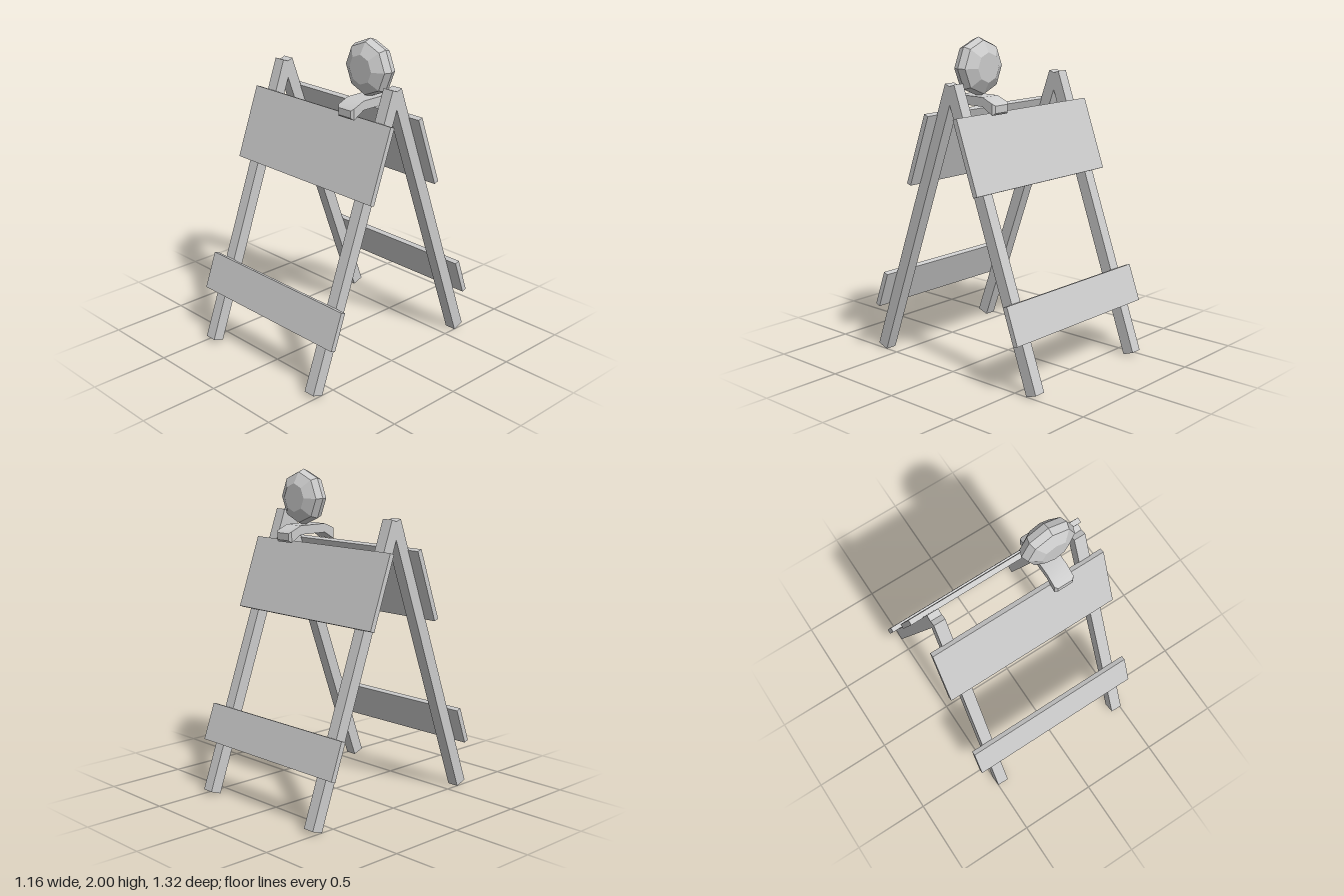
import * as THREE from 'three';
import { toCreasedNormals } from 'three/addons/utils/BufferGeometryUtils.js';

const TILT = THREE.MathUtils.degToRad(20);

export function createModel() {
  const model = new THREE.Group();
  model.name = 'barricade';
  const grey = new THREE.MeshStandardMaterial({ color: 0xcccccc });
  const faceted = new THREE.MeshStandardMaterial({ color: 0xcccccc, flatShading: true });

  const add = (name, geometry, material, parent, x, y, z) => {
    const mesh = new THREE.Mesh(geometry, material);
    mesh.name = name;
    mesh.position.set(x, y, z);
    parent.add(mesh);
    return mesh;
  };

  // Two leaning frames, each with two legs and two boards
  const legGeo = new THREE.BoxGeometry(0.074, 1.825, 0.075);
  const upperGeo = new THREE.BoxGeometry(1.16, 0.457, 0.032);
  const lowerGeo = new THREE.BoxGeometry(1.16, 0.234, 0.032);
  for (const side of [1, -1]) {
    const frame = new THREE.Group();
    frame.name = side > 0 ? 'frontFrame' : 'backFrame';
    model.add(frame);
    const parts = [
      add('leftLeg', legGeo, grey, frame, 0.465, 0.875, side * 0.313),
      add('rightLeg', legGeo, grey, frame, -0.465, 0.875, side * 0.313),
      add('upperBoard', upperGeo, grey, frame, 0, 1.349, side * 0.193),
      add('lowerBoard', lowerGeo, grey, frame, 0, 0.431, side * 0.535),
    ];
    for (const part of parts) part.rotation.x = -side * TILT;
  }

  // Bent lamp bracket: a box shaped by stations [z, bottom, top, half width]
  const half = [[0.19, 1.575, 1.618, 0.05], [0.176, 1.562, 1.63, 0.065], [0.1, 1.607, 1.662, 0.065]];
  const stations = [
    ...half.map(([z, ...rest]) => [-z, ...rest]),
    ...half.slice().reverse(),
  ];
  const bracketGeo = new THREE.BoxGeometry(2, 2, 5, 1, 1, 5);
  const pos = bracketGeo.attributes.position;
  for (let i = 0; i < pos.count; i++) {
    const [z, bottom, top, w] = stations[Math.round(pos.getZ(i) + 2.5)];
    pos.setXYZ(i, pos.getX(i) * w, pos.getY(i) > 0 ? top : bottom, z);
  }
  add('lampBracket', toCreasedNormals(bracketGeo, 0.6), grey, model, 0.27, 0, 0);

  // Eight-sided warning lamp facing front and back
  const profile = [
    [0, -0.083], [0.088, -0.083], [0.156, -0.043], [0.173, 0],
    [0.156, 0.043], [0.088, 0.083], [0, 0.083],
  ].map(([r, h]) => new THREE.Vector2(r, h));
  const lampGeo = new THREE.LatheGeometry(profile, 8).rotateX(Math.PI / 2);
  add('warningLamp', lampGeo, faceted, model, 0.274, 1.828, -0.012);

  return model;
}
